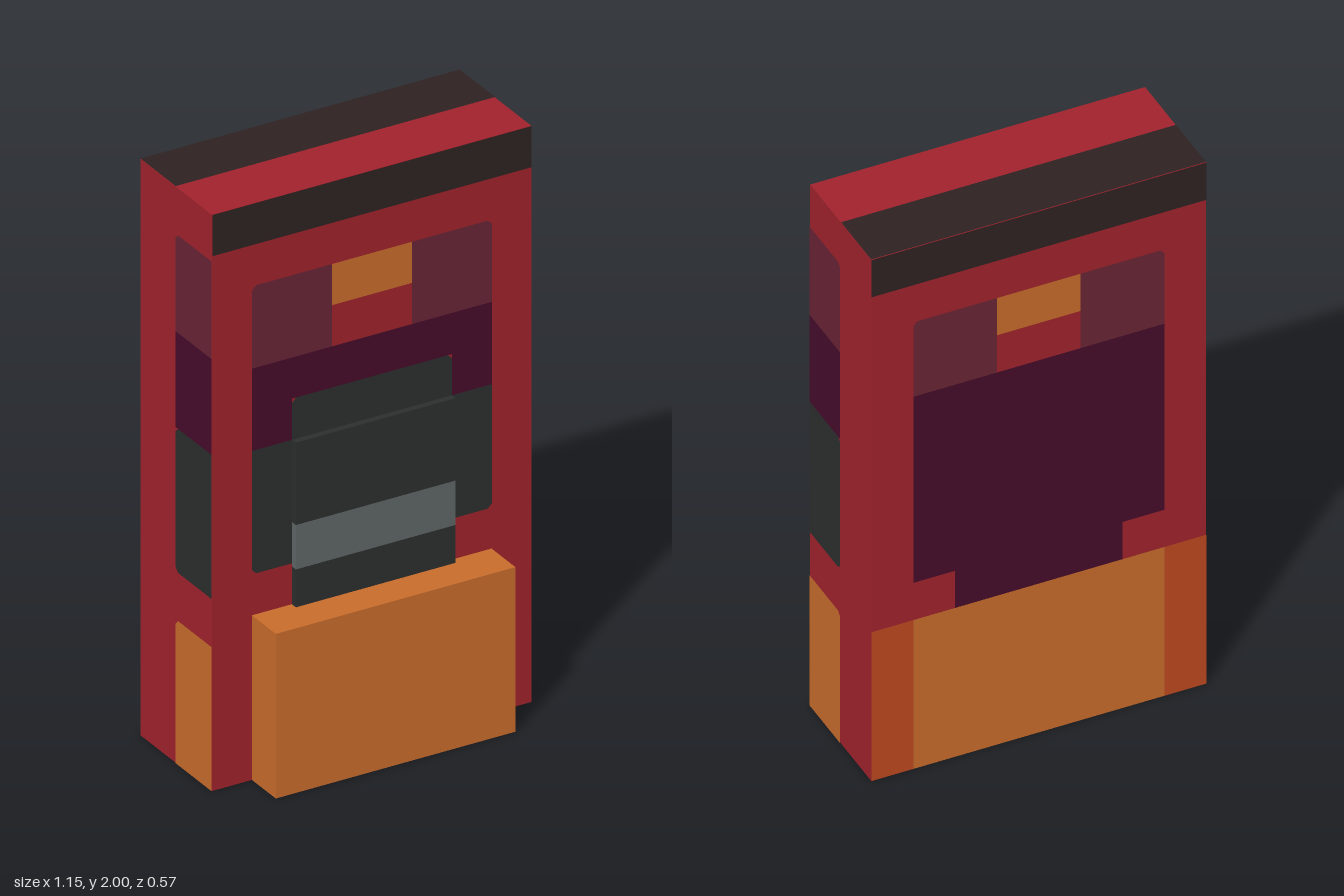
import * as THREE from 'three';

// Everything is laid out in blocks; the model is 14 blocks tall = 2 units.
const UNIT = 1 / 7;
const LIFT = 0.012; // painted faces sit just above the surface

function makeMaterials() {
  const colors = {
    red: 0xa0222c, orange: 0xc86c2b, rust: 0xbd4820, plum: 0x692435, purple: 0x460c2b,
    charcoal: 0x2c2d2d, grey: 0x5f6565, darkBrown: 0x2d2221,
  };
  const mats = {};
  for (const [name, color] of Object.entries(colors)) {
    mats[name] = new THREE.MeshStandardMaterial({ color });
    mats[name].name = name;
  }
  return mats;
}

// Solid block given by its limits on each axis
function block(name, material, [x0, x1], [y0, y1], [z0, z1]) {
  const mesh = new THREE.Mesh(new THREE.BoxGeometry(x1 - x0, y1 - y0, z1 - z0), material);
  mesh.position.set((x0 + x1) / 2, (y0 + y1) / 2, (z0 + z1) / 2);
  mesh.name = name;
  return mesh;
}

// Painted rectangle in the local xy plane; corners ('bl br tr tl') may be clipped
function panel(name, material, x0, x1, y0, y1, clipped = '') {
  const c = (key) => (clipped.includes(key) ? 0.1 : 0);
  const shape = new THREE.Shape();
  shape.moveTo(x0 + c('bl'), y0);
  shape.lineTo(x1 - c('br'), y0);
  if (c('br')) shape.lineTo(x1, y0 + c('br'));
  shape.lineTo(x1, y1 - c('tr'));
  if (c('tr')) shape.lineTo(x1 - c('tr'), y1);
  shape.lineTo(x0 + c('tl'), y1);
  if (c('tl')) shape.lineTo(x0, y1 - c('tl'));
  shape.lineTo(x0, y0 + c('bl'));
  const mesh = new THREE.Mesh(new THREE.ShapeGeometry(shape), material);
  mesh.name = name;
  return mesh;
}

// Group of panels laid on one side of the body
function side(name, position, rotation, panels) {
  const group = new THREE.Group();
  group.name = name;
  group.position.set(...position);
  group.rotation.set(...rotation);
  group.add(...panels);
  return group;
}

export function createModel() {
  const m = makeMaterials();
  const model = new THREE.Group();
  model.name = 'blockFigure';

  // Body slab, front base and raised front plate with its band
  model.add(
    block('body', m.red, [-4, 4], [0, 14], [-2, 1]),
    block('frontBase', m.orange, [-3, 3], [0, 4], [1, 2]),
    block('frontPlateLower', m.charcoal, [-2, 2], [4, 4.92], [1, 1.17]),
    block('frontPlateBand', m.grey, [-2, 2], [4.92, 6], [1, 1.17]),
    block('frontPlateUpper', m.charcoal, [-2, 2], [6, 8], [1, 1.17]),
  );

  // Upper markings shared by front and back
  const upperPanels = () => [
    panel('topBand', m.darkBrown, -4, 4, 13, 14),
    panel('plumPatch', m.plum, -3, -1, 10, 12, 'tl'),
    panel('plumPatch', m.plum, 1, 3, 10, 12, 'tr'),
    panel('orangePatch', m.orange, -1, 1, 11, 12),
  ];

  model.add(side('frontFace', [0, 0, 1 + LIFT], [0, 0, 0], [
    ...upperPanels(),
    panel('purplePatchLeft', m.purple, 2, 3, 8, 10),
    panel('purplePatchRight', m.purple, -3, -2, 8, 10),
    panel('purplePatchTop', m.purple, -2, 2, 9, 10),
    panel('charcoalTop', m.charcoal, -2, 2, 8, 9, 'tl tr'),
    panel('charcoalPatch', m.charcoal, -3, 3, 5, 8, 'bl br'),
  ]));

  model.add(side('backFace', [0, 0, -2 - LIFT], [0, Math.PI, 0], [
    ...upperPanels(),
    panel('purpleBack', m.purple, -3, 3, 5, 10),
    panel('purpleBackLower', m.purple, -2, 2, 4, 5),
    panel('orangeBack', m.orange, -3, 3, 0, 4),
    panel('rustEdge', m.rust, -4, -3, 0, 4),
    panel('rustEdge', m.rust, 3, 4, 0, 4),
  ]));

  // Side strips run along the front half of each side
  for (const s of [1, -1]) {
    const [a, b] = s > 0 ? [-1, 0.5] : [-0.5, 1];
    const top = s > 0 ? 'tr' : 'tl';
    const bottom = s > 0 ? 'br' : 'bl';
    model.add(side(s > 0 ? 'leftSide' : 'rightSide', [s * (4 + LIFT), 0, 0], [0, s * Math.PI / 2, 0], [
      panel('plumStrip', m.plum, a, b, 10.5, 12.87, top),
      panel('purpleStrip', m.purple, a, b, 8.17, 10.5),
      panel('charcoalStrip', m.charcoal, a, b, 4.67, 8.17, `${top} ${bottom}`),
      panel('orangeStrip', m.orange, a, b, 0, 3.5, top),
    ]));
  }

  // Dark rear half on the top and underside
  model.add(
    side('topFace', [0, 14 + LIFT, 0], [-Math.PI / 2, 0, 0],
      [panel('darkTop', m.darkBrown, -4, 4, 0.52, 2)]),
    side('underside', [0, -LIFT, 0], [Math.PI / 2, 0, 0],
      [panel('darkBottom', m.darkBrown, -4, 4, -2, -0.52)]),
  );

  model.scale.setScalar(UNIT);
  return model;
}
